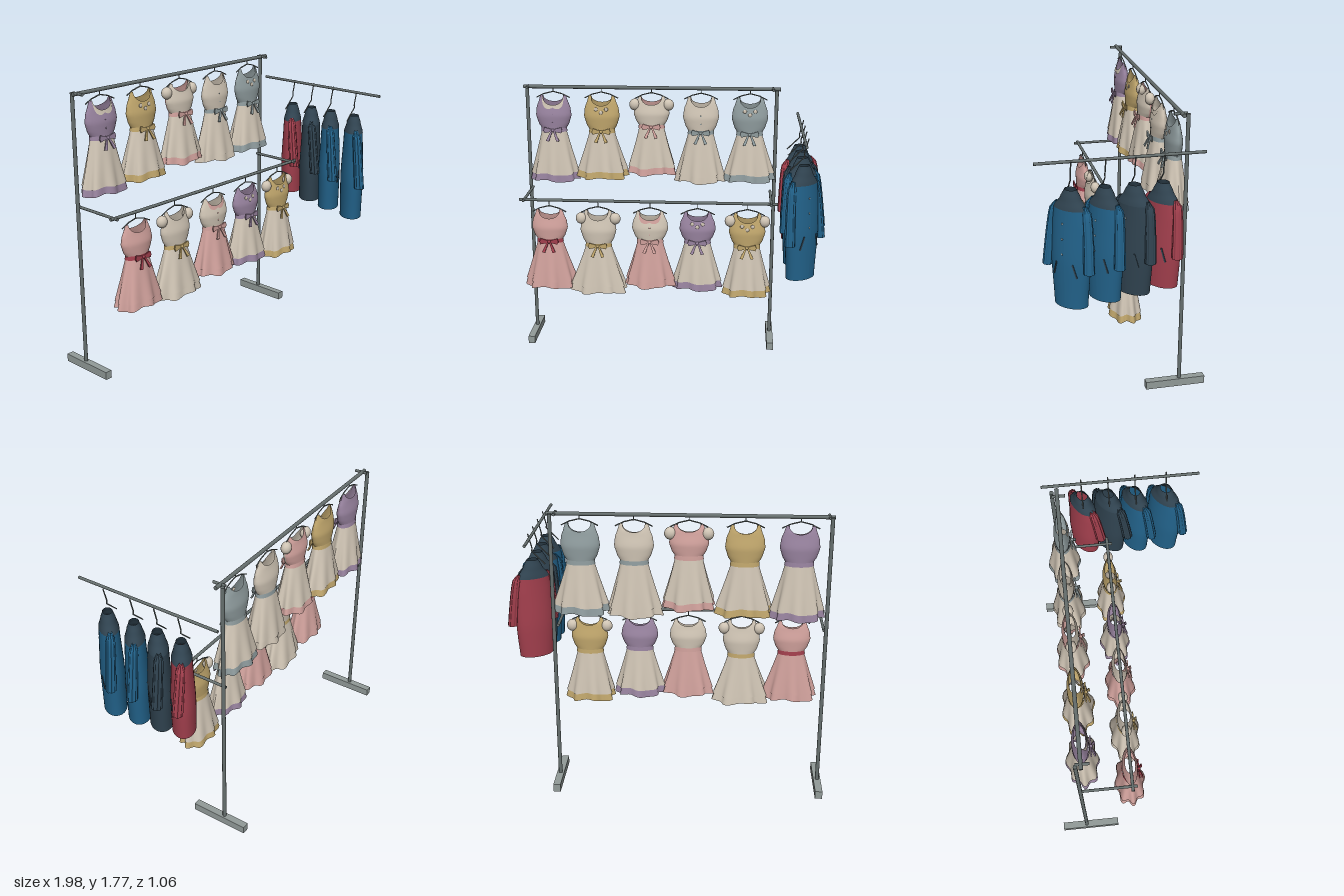
import * as THREE from 'three';

const mat = (name, color, side = THREE.DoubleSide) => {
  const m = new THREE.MeshStandardMaterial({ color, side });
  m.name = name;
  return m;
};
const M = {
  steel: mat('steel', 0x666f6e), foot: mat('footGrey', 0x929b99),
  cream: mat('cream', 0xcfc4b4), purple: mat('purple', 0x98839f),
  gold: mat('gold', 0xc0a66c), pink: mat('pink', 0xcfa09b),
  slate: mat('slate', 0x8f9c9e), red: mat('red', 0xa23f4d),
  blue: mat('blue', 0x22628a), navy: mat('navy', 0x304350),
};

function add(parent, name, geo, material, x = 0, y = 0, z = 0) {
  const m = new THREE.Mesh(geo, material);
  m.name = name;
  m.position.set(x, y, z);
  parent.add(m);
  return m;
}

// Round bar between two points
function bar(parent, name, a, b, r, material, sides = 12) {
  const A = new THREE.Vector3(...a), B = new THREE.Vector3(...b);
  const m = add(parent, name, new THREE.CylinderGeometry(r, r, A.distanceTo(B), sides), material);
  m.position.copy(A).add(B).multiplyScalar(0.5);
  m.quaternion.setFromUnitVectors(new THREE.Vector3(0, 1, 0), B.sub(A).normalize());
  return m;
}

function wire(parent, name, pts, r, material) {
  for (let i = 1; i < pts.length; i++) bar(parent, name, pts[i - 1], pts[i], r, material, 6);
}

// Surface from a rule f(u, v) -> [x, y, z], u and v in 0..1
function sheet(nu, nv, f) {
  const pos = [], idx = [];
  for (let j = 0; j <= nv; j++) for (let i = 0; i <= nu; i++) pos.push(...f(i / nu, j / nv));
  for (let j = 0; j < nv; j++) for (let i = 0; i < nu; i++) {
    const a = j * (nu + 1) + i, b = a + nu + 1;
    idx.push(a, a + 1, b, a + 1, b + 1, b);
  }
  const g = new THREE.BufferGeometry();
  g.setAttribute('position', new THREE.Float32BufferAttribute(pos, 3));
  g.setIndex(idx);
  g.computeVertexNormals();
  return g;
}

const lerp = THREE.MathUtils.lerp;
// Value at t along a list of [t, value] stops
function stops(list, t) {
  for (let i = 1; i < list.length; i++) {
    const [t0, a] = list[i - 1], [t1, b] = list[i];
    if (t <= t1) return lerp(a, b, THREE.MathUtils.smoothstep(t, t0, t1) * 0.5 + 0.5 * (t - t0) / (t1 - t0));
  }
  return list[list.length - 1][1];
}

// Dress hung from a rail at local y = 0.05 above its shoulders (shoulders at y = 0)
const WIDTH = [[0, 0.08], [0.2, 0.104], [0.42, 0.118], [0.65, 0.112], [0.85, 0.095], [1, 0.085]];
const DEPTH = [[0, 0.045], [0.4, 0.048], [0.8, 0.03], [1, 0.01]];
function dress({ bodice, back = bodice, skirt, hem, sash, collar, gems, buttons, puffs, waist, length, half, seed }) {
  const g = new THREE.Group();
  g.name = 'dress';
  const bodyPoint = (u, t, s) => [u * stops(WIDTH, t), -waist * (1 - t),
    s * stops(DEPTH, t) * Math.sqrt(Math.max(0, 1 - u * u))];
  const top = (u, dip) => 1 - dip * Math.pow(Math.max(0, 1 - (u / 0.78) ** 2), 0.6);
  const half3 = (s, dip) => sheet(28, 14, (a, v) => {
    const u = Math.sin((a - 0.5) * Math.PI);
    return bodyPoint(u, v * top(u, dip), s);
  });
  add(g, 'bodiceFront', half3(1, 0.27), M[bodice]);
  add(g, 'bodiceBack', half3(-1, 0.2), M[back]);

  // Wavy skirt over a hem layer
  const flare = (y0, y1, k) => sheet(72, 8, (a, b) => {
    const p = a * Math.PI * 2, y = lerp(y0, y1, b), v = (y - waist) / (length - waist);
    const w = (1 + 0.1 * v * Math.cos(8 * p + seed) + 0.03 * v * Math.sin(3 * p + seed * 2)) * k;
    return [Math.cos(p) * lerp(0.078, half * 0.95, v) * w,
      -y + 0.008 * v * Math.sin(4 * p + seed), Math.sin(p) * lerp(0.045, 0.095, v) * w];
  });
  add(g, 'skirt', flare(waist, length - 0.045, 1.03), M[skirt]);
  add(g, 'hemLayer', flare(length - 0.11, length, 0.985), M[hem]);

  // Sash with bow
  const band = add(g, 'sash', new THREE.CylinderGeometry(0.084, 0.088, 0.026, 32, 1, true), M[sash], 0, -waist, 0);
  band.scale.z = 0.58;
  for (const s of [-1, 1]) {
    const lobe = new THREE.Shape([[0, 0.006], [0.055, 0.022], [0.062, 0], [0.055, -0.018], [0, -0.006]]
      .map(([x, y]) => new THREE.Vector2(x * s, y)));
    const tail = new THREE.Shape([[0, 0], [0.01, 0], [0.045, -0.07], [0.025, -0.075]]
      .map(([x, y]) => new THREE.Vector2(x * s, y)));
    const opt = { depth: 0.008, bevelEnabled: false };
    add(g, 'bowLoop', new THREE.ExtrudeGeometry(lobe, opt), M[sash], 0, -waist, 0.052);
    add(g, 'bowTail', new THREE.ExtrudeGeometry(tail, opt), M[sash], 0, -waist, 0.052).rotation.x = -0.3;
  }
  add(g, 'bowKnot', new THREE.SphereGeometry(0.011, 10, 8), M[sash], 0, -waist, 0.058);

  // Trims on the bodice
  const trim = (name, u, t, r, m) => {
    const [x, y, z] = bodyPoint(u, t, 1);
    add(g, name, new THREE.SphereGeometry(r, 10, 6), m, x, y, z).scale.z = 0.4;
  };
  if (buttons) for (const t of [0.25, 0.48]) trim('button', 0, t, 0.005, M[sash]);
  if (gems) for (const u of [-0.3, 0, 0.3]) trim('neckBead', u, 0.64 - 0.1 * (1 - Math.abs(u) * 3), 0.013, M.cream);
  if (collar) for (const s of [-1, 1]) {
    add(g, 'collar', sheet(12, 3, (a, b) => {
      const u = s * a * 0.8, p = bodyPoint(u, top(u, 0.27) - b * 0.14 * Math.sin(Math.PI * (0.15 + 0.7 * a)), 1);
      return [p[0], p[1], p[2] + 0.005];
    }), M[collar]);
  }
  if (puffs) for (const s of [-1, 1]) {
    add(g, 'puffSleeve', new THREE.SphereGeometry(0.037, 16, 12), M[puffs], s * 0.11, -0.055, 0).scale.set(1, 1.05, 0.85);
  }

  // Hanger
  wire(g, 'hanger', [[-0.11, -0.015, 0], [-0.06, 0.01, 0], [0, 0.025, 0], [0.06, 0.01, 0], [0.11, -0.015, 0]], 0.004, M.steel);
  wire(g, 'hangerHook', [[0, 0.02, 0], [0, 0.06, 0]], 0.003, M.steel);
  return g;
}

// Coat with its neck at y = 0
function coat(color, length) {
  const g = new THREE.Group();
  g.name = 'coat';
  const A = [[0, 0.036], [0.05, 0.062], [0.11, 0.104], [0.2, 0.115], [0.42, 0.124], [0.7, 0.105]];
  const B = [[0, 0.03], [0.05, 0.045], [0.11, 0.06], [0.42, 0.074], [0.7, 0.07]];
  const at = (p, y) => [Math.sin(p) * stops(A, y), -y, Math.cos(p) * stops(B, y)];
  const shell = (y0, y1, n) => sheet(40, n, (a, b) => at(-a * Math.PI * 2, lerp(y0, y1, b)));
  add(g, 'coatYoke', shell(0, 0.11, 8), M.navy);
  add(g, 'coatBody', shell(0.11, length, 16), M[color]);
  // Fluted sleeves
  for (const s of [-1, 1]) {
    const drop = length * 0.67;
    add(g, 'sleeve', sheet(60, 10, (a, v) => {
      const p = -a * Math.PI * 2, r = lerp(0.026, 0.031, v) * Math.min(1, 0.35 + v * 6) * (1 + 0.07 * Math.cos(10 * p));
      return [s * (lerp(0.092, 0.138, Math.sqrt(v)) + Math.cos(p) * r),
        -lerp(0.085, drop, v), lerp(0, 0.028, v) + Math.sin(p) * r];
    }), M[color]);
    // Slanted pocket welts
    const [x, y, z] = at(s * 0.55, length * 0.66);
    const pocket = add(g, 'pocket', new THREE.BoxGeometry(0.009, 0.085, 0.008), M.navy, x, y, z);
    pocket.rotation.set(0, s * 0.35, s * 0.3);
  }
  for (let i = 0; i < 3; i++) {
    const [x, y, z] = at(-0.12, 0.19 + i * 0.09);
    add(g, 'coatButton', new THREE.SphereGeometry(0.006, 8, 6), M.slate, x, y, z).scale.z = 0.5;
  }
  return g;
}

export function createModel() {
  const model = new THREE.Group();
  model.name = 'clothesRack';

  // Frame
  for (const [post, arm] of [[-0.978, -0.965], [0.667, 0.642]]) {
    add(model, 'foot', new THREE.BoxGeometry(0.045, 0.05, 0.375), M.foot, post, 0.025, -0.345);
    bar(model, 'post', [post, 0.05, -0.373], [post, 1.765, -0.373], 0.012, M.steel);
    bar(model, 'topBracket', [arm, 1.76, -0.375], [arm, 1.76, -0.295], 0.009, M.steel);
    bar(model, 'lowerBracket', [arm, 1.068, -0.375], [arm, 1.068, -0.03], 0.009, M.steel);
  }
  bar(model, 'topRail', [-0.995, 1.76, -0.343], [0.69, 1.76, -0.343], 0.012, M.steel);
  bar(model, 'lowerRail', [-0.995, 1.068, -0.06], [0.685, 1.068, -0.06], 0.01, M.steel);
  bar(model, 'sideRail', [0.81, 1.585, -0.44], [0.81, 1.585, 0.53], 0.009, M.steel);

  // Upper row, then lower row of dresses
  const upper = [
    { x: -0.8, bodice: 'purple', skirt: 'cream', hem: 'purple', sash: 'purple', collar: 'cream', buttons: true, waist: 0.225, length: 0.565, half: 0.165 },
    { x: -0.48, bodice: 'gold', skirt: 'cream', hem: 'gold', sash: 'gold', gems: true, waist: 0.23, length: 0.545, half: 0.175 },
    { x: -0.15, bodice: 'cream', back: 'pink', skirt: 'cream', hem: 'pink', sash: 'pink', puffs: 'cream', waist: 0.195, length: 0.51, half: 0.165 },
    { x: 0.175, bodice: 'cream', skirt: 'cream', hem: 'cream', sash: 'slate', collar: 'cream', buttons: true, waist: 0.23, length: 0.56, half: 0.17 },
    { x: 0.495, bodice: 'slate', skirt: 'cream', hem: 'slate', sash: 'slate', gems: true, waist: 0.235, length: 0.55, half: 0.172 },
  ];
  const lower = [
    { x: -0.8, bodice: 'pink', skirt: 'pink', hem: 'pink', sash: 'red', waist: 0.205, length: 0.52, half: 0.175 },
    { x: -0.48, bodice: 'cream', skirt: 'cream', hem: 'cream', sash: 'gold', puffs: 'cream', waist: 0.23, length: 0.55, half: 0.192 },
    { x: -0.14, bodice: 'cream', skirt: 'pink', hem: 'pink', sash: 'pink', collar: 'pink', buttons: true, waist: 0.195, length: 0.5, half: 0.172 },
    { x: 0.17, bodice: 'purple', skirt: 'cream', hem: 'purple', sash: 'purple', gems: true, waist: 0.195, length: 0.51, half: 0.165 },
    { x: 0.492, bodice: 'gold', skirt: 'cream', hem: 'gold', sash: 'gold', puffs: 'cream', gems: true, waist: 0.22, length: 0.55, half: 0.16 },
  ];
  [[upper, 1.705, -0.34], [lower, 1.005, -0.06]].forEach(([row, y, z], r) => row.forEach((d, i) => {
    const g = dress({ ...d, seed: i * 1.7 + r * 0.9 });
    g.position.set(d.x, y, z);
    model.add(g);
  }));

  // Coats on the side rail, turned partly to the front
  [['blue', 0.33, 0.70, 0.8], ['blue', 0.137, 0.675, 0.62], ['navy', -0.03, 0.65, 0.7], ['red', -0.195, 0.62, 0.6]]
    .forEach(([color, z, length, turn]) => {
      const c = coat(color, length);
      c.position.set(0.815, 1.43, z);
      c.rotation.y = turn;
      model.add(c);
      wire(model, 'coatHanger', [[0.735, 1.4, z], [0.815, 1.48, z], [0.812, 1.5, z], [0.835, 1.59, z]], 0.004, M.steel);
    });
  return model;
}
